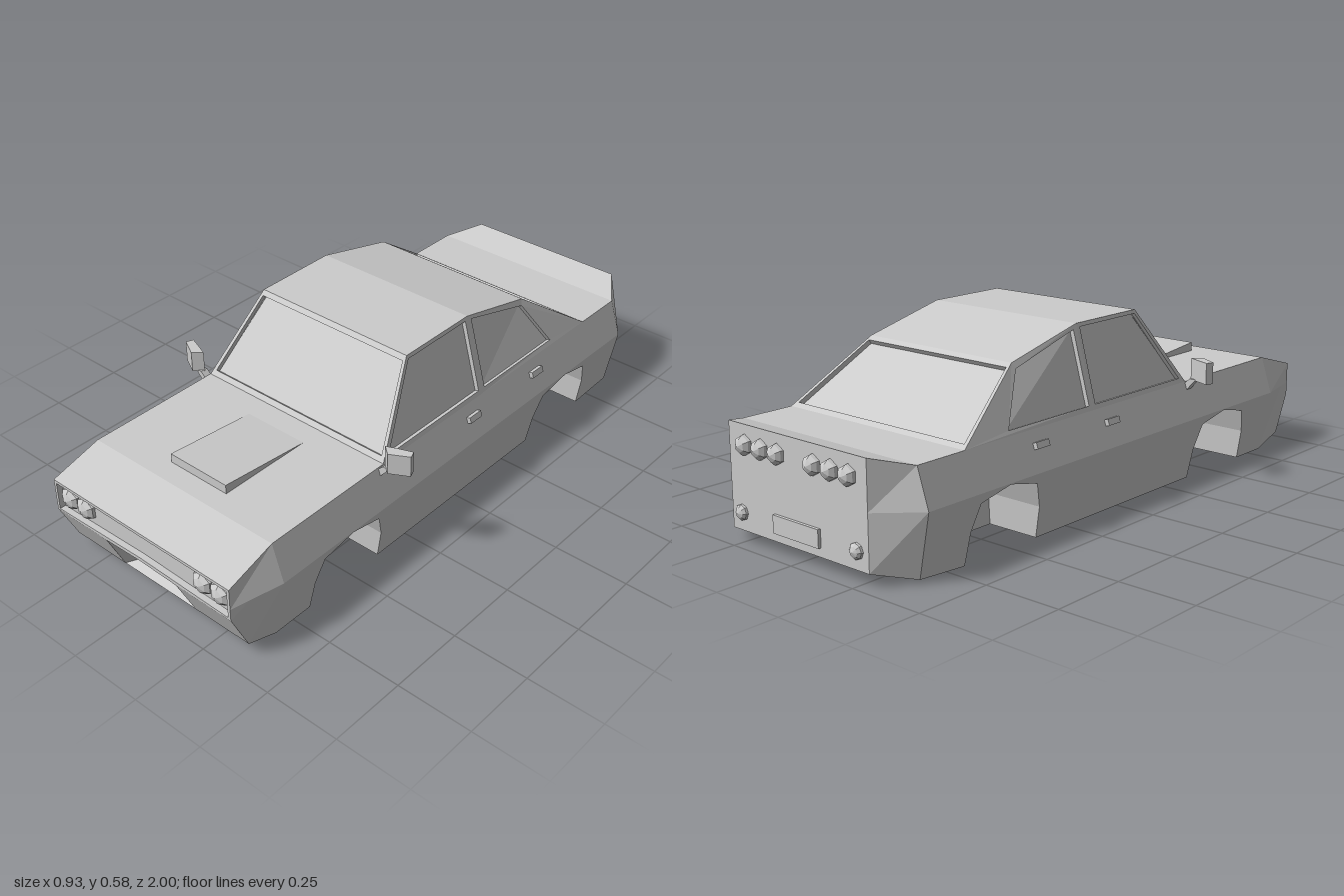
import * as THREE from 'three';

const material = new THREE.MeshStandardMaterial({ color: 0xcccccc, flatShading: true, side: THREE.DoubleSide });
const V = (x, y, z) => new THREE.Vector3(x, y, z);
const lerp = THREE.MathUtils.lerp;

// Faces are corner loops, counter-clockwise from outside
const strip = (a, b) => a.slice(1).map((p, i) => [a[i], p, b[i + 1], b[i]]);
const ring = (a, b) => strip([...a, a[0]], [...b, b[0]]);
const mirror = faces => [...faces, ...faces.map(f => f.map(p => V(-p.x, p.y, p.z)).reverse())];
const prism = (loop, d) => {
  const back = loop.map(p => p.clone().add(d));
  return [loop, [...back].reverse(), ...ring(back, loop)];
};

// Frame around an opening, with its walls and a sunken pane
function recess(outer, inner, depth) {
  const n = inner[1].clone().sub(inner[0]).cross(inner[2].clone().sub(inner[0])).normalize();
  const pane = inner.map(p => p.clone().addScaledVector(n, -depth));
  return { frame: [...ring(outer, inner), ...ring(inner, pane)], pane: [pane] };
}

function facesMesh(name, faces) {
  const pos = [];
  for (const f of faces)
    for (let i = 1; i < f.length - 1; i++)
      for (const p of [f[0], f[i], f[i + 1]]) pos.push(p.x, p.y, p.z);
  const g = new THREE.BufferGeometry();
  g.setAttribute('position', new THREE.Float32BufferAttribute(pos, 3));
  g.computeVertexNormals();
  const m = new THREE.Mesh(g, material);
  m.name = name;
  return m;
}

// Half width of the lower body below the belt line, and at the belt line
const BELT = 0.21, WELL = 0.18, NOSE = 0.363, TAIL = 0.285;
const lowX = (z, y) => z > 0.9 ? NOSE : z < -0.9 ? TAIL : 0.36 + 0.04 * y / BELT;
const beltX = z => z > 0.82 ? lerp(0.4, NOSE, (z - 0.82) / 0.17) : z < -0.86 ? TAIL : 0.4;

// Half width of the cabin, leaning in towards the roof
const cabinX = (z, y) => {
  const h = 0.585 - 0.07 * THREE.MathUtils.clamp((-0.12 - z) / 0.29, 0, 1);
  return 0.36 - 0.07 * (y - 0.33) / (h - 0.33);
};

// Wheel arch outline around a centre, front to back
const arch = c => [[0.15, 0], [0.144, 0.1], [0.117, 0.18], [0, 0.207], [-0.117, 0.18], [-0.144, 0.1], [-0.15, 0]]
  .map(([z, y]) => [c + z, y]);

function bodyShell() {
  const low = ([z, y]) => V(lowX(z, y), y, z);
  const flat = x => ([z, y]) => V(x, y, z);
  const arches = [arch(0.53), arch(-0.535)];
  const chin = [[0.93, 0.04], [0.82, 0]];
  const rear = [[-0.7, 0], [-0.86, 0.012], [-0.97, 0.04]];
  const sill = [[0.99, 0.17], ...chin, ...arches[0], ...arches[1], ...rear];
  const shoulder = [V(NOSE, 0.28, 0.99), V(0.36, 0.33, 0.82), V(0.36, 0.33, -0.86), V(TAIL, 0.36, -0.97)];
  const belt = z => V(beltX(z), BELT, z);

  const faces = [
    ...strip(sill.map(low), sill.map(p => belt(p[0]))),
    ...strip(shoulder.map(p => belt(p.z)), shoulder),
    ...strip(shoulder, shoulder.map(p => V(0, p.y, p.z)))
  ];
  // Floor: a centre strip, and outer strips between the wheel wells
  const floor = [...chin, [0.68, 0], [0.38, 0], [-0.385, 0], [-0.685, 0], ...rear];
  faces.push(...strip(floor.map(flat(0)), floor.map(flat(WELL))));
  for (const part of [floor.slice(0, 3), floor.slice(3, 5), floor.slice(5)])
    faces.push(...strip(part.map(flat(WELL)), part.map(low)));
  // Wheel wells
  for (const a of arches) {
    faces.push(...strip(a.map(flat(WELL)), a.map(low)));
    faces.push(...strip(a.map(([z]) => V(WELL, 0, z)), a.map(flat(WELL))));
  }
  const tail = [V(TAIL, 0.04, -0.97), V(-TAIL, 0.04, -0.97), V(-TAIL, 0.36, -0.97), V(TAIL, 0.36, -0.97)];
  return [...mirror(faces), tail];
}

// Windscreen or rear window; s is 1 when it faces forward
function screen(zBottom, yBottom, zTop, yTop, s) {
  const loop = (t0, t1, k) => [[-s, t0], [s, t0], [s, t1], [-s, t1]].map(([side, t]) =>
    V(side * k * lerp(0.36, 0.29, t), lerp(yBottom, yTop, t), lerp(zBottom, zTop, t)));
  return recess(loop(0, 1, 1), loop(0.06, 0.94, 0.965), 0.016);
}

function lamp(name, r, length, sides, x, y, z, dir) {
  const profile = [[r, 0], [r * 0.95, 0.4], [r * 0.62, 0.75], [0, 1]]
    .map(([a, b]) => new THREE.Vector2(a, b * length));
  const m = new THREE.Mesh(new THREE.LatheGeometry(profile, sides), material);
  m.name = name;
  m.rotation.x = dir * Math.PI / 2;
  m.position.set(x, y, z);
  return m;
}

export function createModel() {
  const car = new THREE.Group();
  car.name = 'carBody';
  const add = (name, faces) => car.add(facesMesh(name, faces));

  add('bodyShell', bodyShell());

  // Grille panel; each loop starts at the raised or lowered centre point
  const bowed = (mid, x0, yTop, x1, yLow, z) =>
    [[0, mid], [-x0, yTop], [-x1, yLow], [x1, yLow], [x0, yTop]].map(([x, y]) => V(x, y, z(y)));
  const level = z => () => z;
  const flip = loop => loop.map(p => V(-p.x, p.y, p.z)).reverse();
  const grilleLoop = (x, low, mid, top, z) =>
    flip([V(0, mid, z), V(x, low, z), V(x, top, z), V(-x, top, z), V(-x, low, z)]).reverse().map(p => V(-p.x, p.y, p.z));
  const gOuter = grilleLoop(NOSE, 0.17, 0.177, 0.28, 0.99);
  const gInner = grilleLoop(0.353, 0.176, 0.186, 0.27, 0.99);
  const gBack = gInner.map(p => V(p.x, p.y, 0.97));
  add('grilleFrame', [...ring(gOuter, gInner), ...ring(gInner, gBack)]);
  add('grillePanel', [[gBack[4], ...gBack.slice(0, 4)]]);

  // Sloping bumper with a tapered air intake
  const slope = y => 0.93 + 0.06 * Math.min(1, (y - 0.04) / 0.13);
  const bOuter = bowed(0.177, NOSE, 0.17, NOSE, 0.04, slope);
  const bOpen = bowed(0.174, 0.145, 0.168, 0.15, 0.041, slope);
  const bBack = bowed(0.13, 0.105, 0.13, 0.105, 0.065, level(0.9));
  add('frontBumper', [...ring(bOuter, bOpen), ...ring(bOpen, bBack)]);
  add('intakePanel', [bBack]);

  // Roof and glazing
  const roof = [V(0.29, 0.585, 0.17), V(0.29, 0.585, -0.12), V(0.29, 0.515, -0.41)];
  add('roof', mirror(strip(roof, roof.map(p => V(0, p.y, p.z)))));
  const cabin = pts => pts.map(([z, y]) => V(cabinX(z, y), y, z));
  const glazing = {
    windscreen: [screen(0.355, 0.33, 0.17, 0.585, 1), false],
    rearWindow: [screen(-0.68, 0.33, -0.41, 0.515, -1), false],
    frontSideWindow: [recess(
      cabin([[0.355, 0.33], [-0.12, 0.33], [-0.12, 0.585], [0.17, 0.585]]),
      cabin([[0.325, 0.345], [-0.107, 0.345], [-0.107, 0.573], [0.165, 0.573]]), 0.014), true],
    rearSideWindow: [recess(
      cabin([[-0.12, 0.33], [-0.68, 0.33], [-0.41, 0.515], [-0.12, 0.585]]),
      cabin([[-0.137, 0.345], [-0.495, 0.345], [-0.4, 0.497], [-0.137, 0.569]]), 0.014), true]
  };
  for (const [name, [part, both]] of Object.entries(glazing)) {
    add(name + 'Frame', both ? mirror(part.frame) : part.frame);
    add(name + 'Glass', both ? mirror(part.pane) : part.pane);
  }

  // Hood scoop wedge
  add('hoodScoop', prism([V(0.113, 0.328, 0.75), V(0.113, 0.328, 0.41), V(0.113, 0.36, 0.75)], V(-0.226, 0, 0)));

  // Door mirrors on short stalks
  const housing = [[0.375, 0.365], [0.405, 0.39], [0.465, 0.357], [0.455, 0.333], [0.405, 0.352]];
  add('doorMirrors', mirror(prism(housing.map(([x, z]) => V(x, 0.408, z)), V(0, -0.07, 0))));
  const stalk = [[0.36, 0.295], [0.402, 0.342], [0.378, 0.342], [0.36, 0.325]];
  add('mirrorStalks', mirror(prism(stalk.map(([x, y]) => V(x, y, 0.378)), V(0, 0, -0.025))));

  // Lamps and door handles on both sides
  for (const s of [-1, 1]) {
    for (const x of [0.243, 0.312]) car.add(lamp('headlight', 0.039, 0.03, 6, s * x, 0.226, 0.967, 1));
    for (const x of [0.075, 0.145, 0.215]) car.add(lamp('tailLight', 0.032, 0.033, 6, s * x, 0.3, -0.967, -1));
    car.add(lamp('reverseLight', 0.025, 0.022, 8, s * 0.24, 0.095, -0.968, -1));
    for (const z of [-0.055, -0.385]) {
      const handle = new THREE.Mesh(new THREE.BoxGeometry(0.018, 0.02, 0.055), material);
      handle.name = 'doorHandle';
      handle.position.set(s * 0.38, 0.286, z);
      handle.rotation.z = s * 0.32;
      car.add(handle);
    }
  }

  // Blank rear plate
  const plate = new THREE.Mesh(new THREE.BoxGeometry(0.19, 0.055, 0.016), material);
  plate.name = 'rearPlate';
  plate.position.set(0, 0.095, -0.972);
  car.add(plate);

  return car;
}
